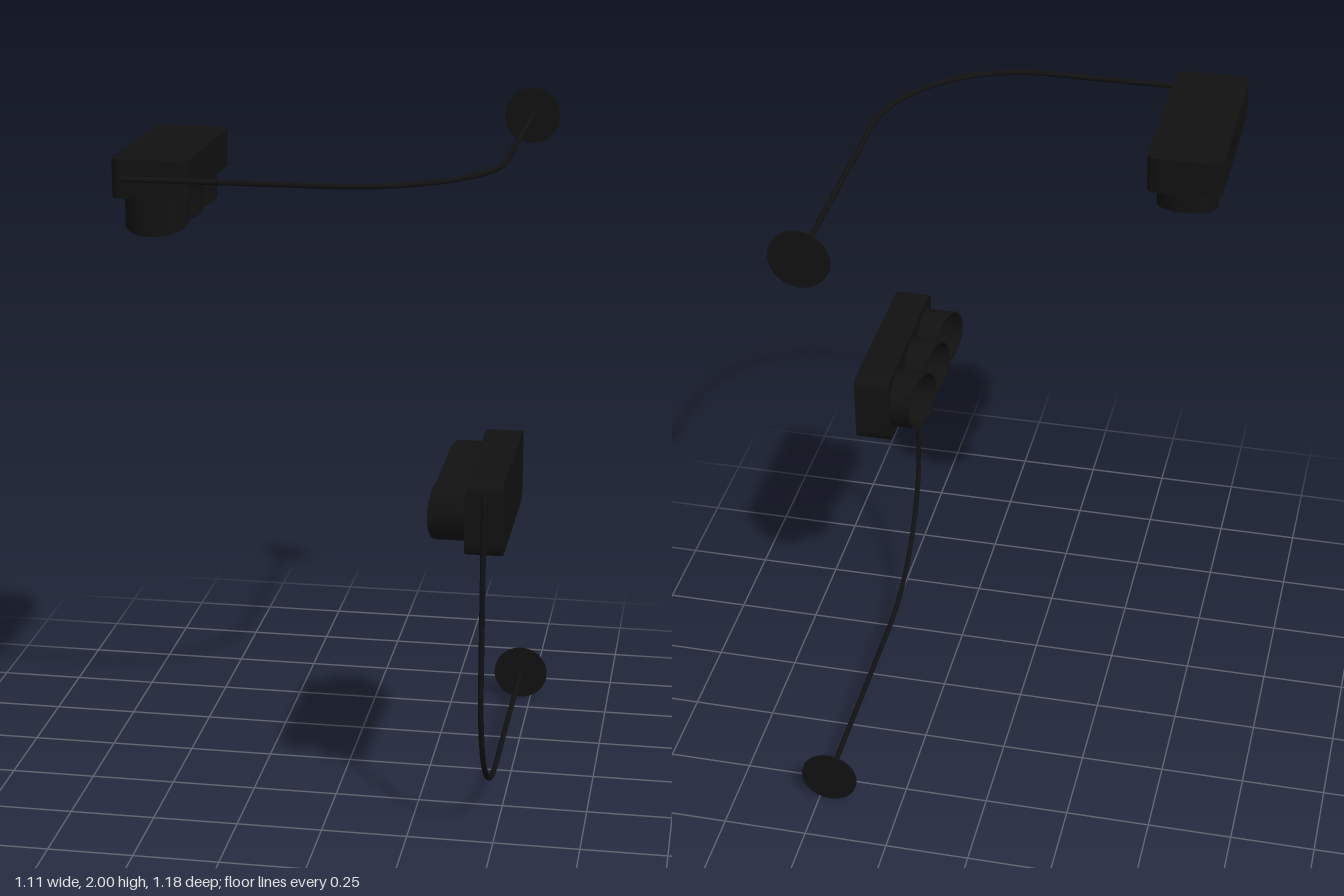
import * as THREE from 'three';
import { toCreasedNormals } from 'three/addons/utils/BufferGeometryUtils.js';

const black = new THREE.MeshStandardMaterial({ color: 0x111111, side: THREE.DoubleSide });

function part(name, geometry, parent) {
  const mesh = new THREE.Mesh(geometry, black);
  mesh.name = name;
  parent.add(mesh);
  return mesh;
}

// Upright slab in the z-y plane with rounded corners, extruded towards -x
function housingGeometry(w, h, depth, r) {
  const x = w / 2, y = h / 2;
  const s = new THREE.Shape();
  s.moveTo(-x + r, -y);
  s.lineTo(x - r, -y);
  s.quadraticCurveTo(x, -y, x, -y + r);
  s.lineTo(x, y - r);
  s.quadraticCurveTo(x, y, x - r, y);
  s.lineTo(-x + r, y);
  s.quadraticCurveTo(-x, y, -x, y - r);
  s.lineTo(-x, -y + r);
  s.quadraticCurveTo(-x, -y, -x + r, -y);
  const g = new THREE.ExtrudeGeometry(s, { depth, bevelEnabled: false, curveSegments: 6 });
  return toCreasedNormals(g.translate(0, 0, -depth / 2).rotateY(-Math.PI / 2), 0.6);
}

// Hollow hood pointing to -x, its mouth cut at a slant
function visorGeometry(r, wall) {
  const profile = [[r, 0], [r, 0.082], [r - wall, 0.082], [r - wall, 0]]
    .map(([a, b]) => new THREE.Vector2(a, b));
  const g = new THREE.LatheGeometry(profile, 40);
  const p = g.attributes.position;
  for (let i = 0; i < p.count; i++) {
    if (p.getY(i) > 0.01) p.setY(i, 0.082 + 0.265 * p.getZ(i));
  }
  return toCreasedNormals(g.rotateZ(Math.PI / 2), 0.6);
}

// One signal on a bent arm; the origin is the centre of the wall plate
function createSignal(name) {
  const signal = new THREE.Group();
  signal.name = name;

  part('wallPlate', new THREE.CylinderGeometry(0.085, 0.085, 0.006, 48).rotateX(Math.PI / 2), signal)
    .position.z = -0.585;

  // Arm: straight out, quarter bend, straight up
  const bend = 0.43, reach = 0.58, k = 0.5523 * bend;
  const V = (y, z) => new THREE.Vector3(0, y, z);
  const pieces = {
    armStraight: [new THREE.LineCurve3(V(0, -0.585), V(0, reach - bend)), 1],
    armBend: [new THREE.CubicBezierCurve3(V(0, reach - bend), V(0, reach - bend + k),
      V(bend - k, reach), V(bend, reach)), 32],
    armUpright: [new THREE.LineCurve3(V(bend, reach), V(0.99, reach)), 1],
  };
  for (const [label, [curve, steps]] of Object.entries(pieces)) {
    part(label, new THREE.TubeGeometry(curve, steps, 0.008, 12), signal);
  }
  part('armEnd', new THREE.CircleGeometry(0.008, 12).rotateX(-Math.PI / 2), signal)
    .position.set(0, 0.99, reach);

  // Lamp head with three hooded lenses
  const head = new THREE.Group();
  head.name = 'lampHead';
  head.position.set(0, 0.917, 0.312);
  signal.add(head);
  part('housing', housingGeometry(0.535, 0.214, 0.106, 0.032), head);
  for (const z of [-0.175, 0, 0.175]) {
    part('visor', visorGeometry(0.087, 0.005), head).position.set(-0.052, 0, z);
    part('lens', new THREE.CylinderGeometry(0.083, 0.083, 0.006, 40).rotateZ(Math.PI / 2), head)
      .position.set(-0.055, 0, z);
  }
  return signal;
}

export function createModel() {
  const model = new THREE.Group();
  model.name = 'signalPair';

  const lower = createSignal('uprightSignal');
  lower.position.set(0.467, 0.085, 0);

  // The same signal turned a quarter about its plate, lamps facing down
  const upper = createSignal('sidewaysSignal');
  upper.position.set(0.467, 1.915, 0);
  upper.rotation.z = Math.PI / 2;

  model.add(lower, upper);
  return model;
}
